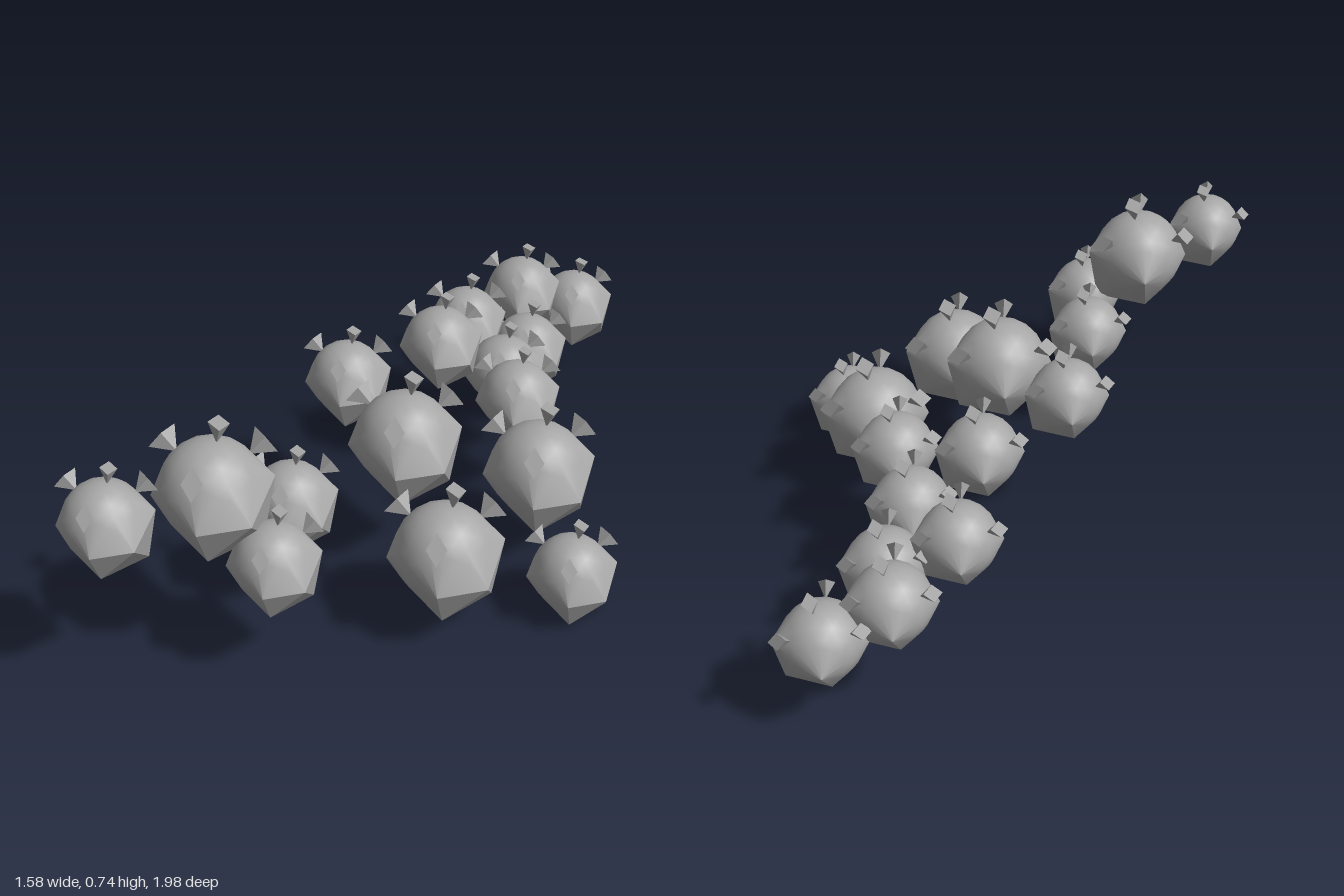
import * as THREE from 'three';
import { toCreasedNormals } from 'three/addons/utils/BufferGeometryUtils.js';
import { ConvexGeometry } from 'three/addons/geometries/ConvexGeometry.js';

// x, y, z, radius of every ball
const BALLS = [
  [0.65, 0.29, -0.86, 0.115], [0.46, 0.365, -0.81, 0.115],
  [0.27, 0.37, -0.57, 0.115], [0.48, 0.28, -0.56, 0.115],
  [0.19, 0.455, -0.28, 0.115], [0.40, 0.32, -0.34, 0.115],
  [0.44, 0.36, -0.12, 0.115], [-0.09, 0.465, -0.03, 0.115],
  [0.10, 0.42, 0.23, 0.147], [0.505, 0.29, 0.17, 0.147],
  [0.605, 0.135, 0.47, 0.115], [0.235, 0.255, 0.55, 0.147],
  [-0.21, 0.365, 0.48, 0.115], [-0.40, 0.54, 0.68, 0.147],
  [-0.23, 0.355, 0.75, 0.115], [-0.66, 0.54, 0.84, 0.115],
];

// Points pulled out of the round body, in units of its radius
const CORNERS = [
  [0.86, -0.2, 0.9], [0.95, -1.05, -0.05], [0.0, -1.08, 0.82],
  [-0.1, -0.2, 1.22], [1.17, 0.2, -0.2], [-0.15, -1.17, -0.4],
  [-1.13, -0.15, 0.1], [0, -0.15, -1.18],
];

// Directions of the small horns
const HORNS = [
  [0.15, 1.1, -0.15], [-1.0, 0.75, -0.6], [0.97, 0.68, -0.7], [-0.14, 0.85, 1.08],
];

function bodyGeometry() {
  const seen = new Map();
  const pos = new THREE.IcosahedronGeometry(1, 3).attributes.position;
  for (let i = 0; i < pos.count; i++) {
    const p = new THREE.Vector3().fromBufferAttribute(pos, i);
    seen.set(p.toArray().map((v) => Math.round(v * 1000)).join(), p);
  }
  const points = [...seen.values(), ...CORNERS.map((c) => new THREE.Vector3(...c))];
  return toCreasedNormals(new ConvexGeometry(points), 0.45);
}

// Tip towards the body, broad side along the body from front to back
function placeHorn(mesh, direction) {
  const dir = new THREE.Vector3(...direction).normalize();
  const yAxis = dir.clone().negate();
  const xAxis = yAxis.clone().cross(new THREE.Vector3(0, 1, -1)).normalize();
  const zAxis = xAxis.clone().cross(yAxis);
  mesh.quaternion.setFromRotationMatrix(new THREE.Matrix4().makeBasis(xAxis, yAxis, zAxis));
  mesh.position.copy(dir).multiplyScalar(1.15);
}

export function createModel() {
  const model = new THREE.Group();
  model.name = 'hornedBalls';
  const grey = new THREE.MeshStandardMaterial({ color: 0xa6a6a6 });
  grey.name = 'grey';

  const body = bodyGeometry();
  const horn = toCreasedNormals(new THREE.ConeGeometry(0.24, 0.42, 4).scale(0.85, 1, 1.35), 0.3);

  BALLS.forEach(([x, y, z, r], i) => {
    const ball = new THREE.Group();
    ball.name = `ball${i + 1}`;
    const bodyMesh = new THREE.Mesh(body, grey);
    bodyMesh.name = 'body';
    ball.add(bodyMesh);

    // Horns touch the body with their tips and widen outwards
    for (const direction of HORNS) {
      const mesh = new THREE.Mesh(horn, grey);
      mesh.name = 'horn';
      placeHorn(mesh, direction);
      ball.add(mesh);
    }
    ball.position.set(x, y, z);
    ball.scale.setScalar(r);
    model.add(ball);
  });
  return model;
}
